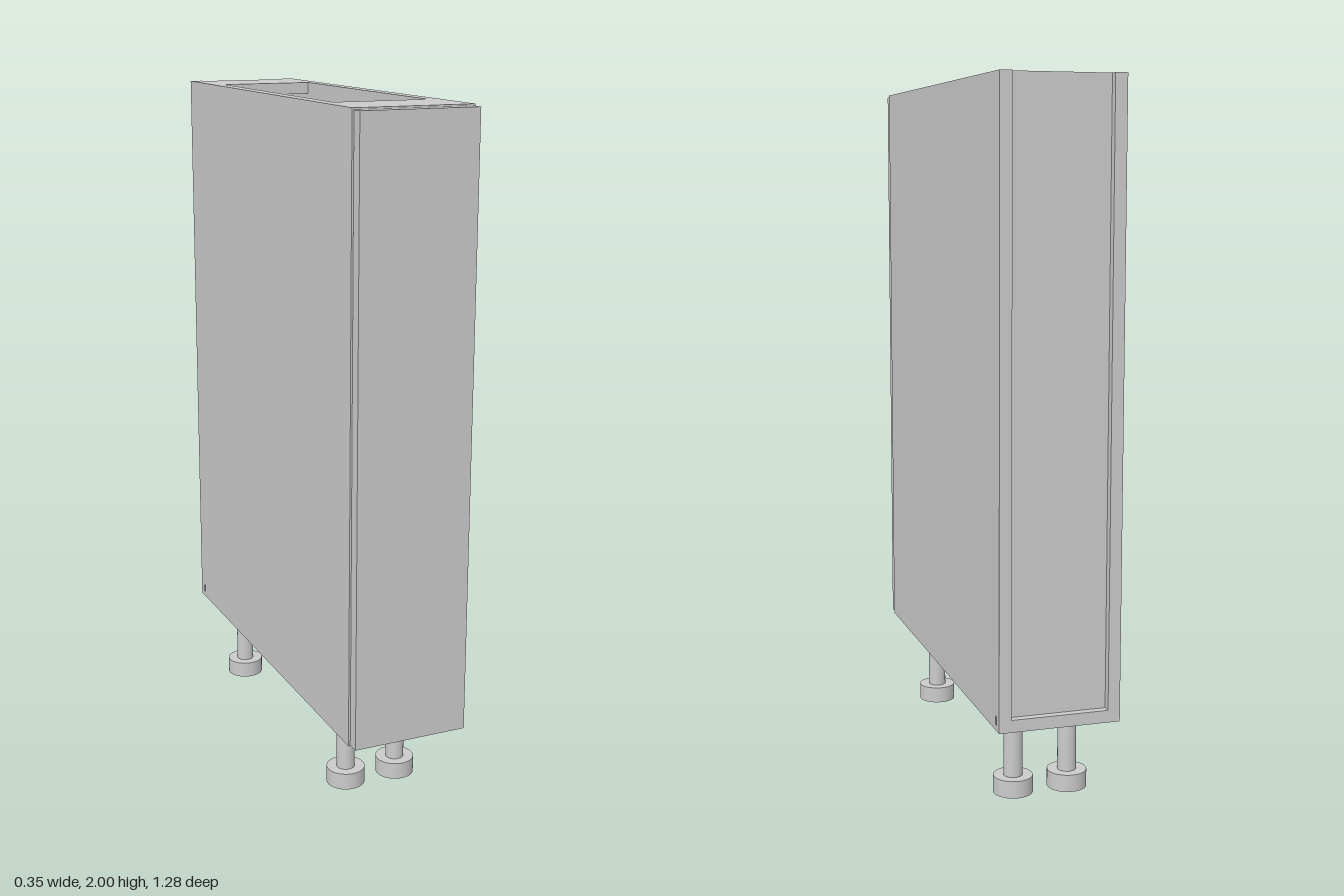
import * as THREE from 'three';

const material = new THREE.MeshStandardMaterial({ color: 0xcccccc });

// Carcass limits
const HALF_W = 0.175, INNER = 0.14, BOARD = 0.035;
const BOTTOM = 0.24, TOP = 2, BACK = -0.64, FRONT = 0.602;
// Vertical bore near the rear edge of each side panel
const BORE_X = 0.16, BORE_Z = -0.611, BORE_R = 0.006;

function add(parent, name, geometry) {
  const mesh = new THREE.Mesh(geometry, material);
  mesh.name = name;
  parent.add(mesh);
  return mesh;
}

// Board given by its limits on each axis
function board(parent, name, [x0, x1], [y0, y1], [z0, z1]) {
  const mesh = add(parent, name, new THREE.BoxGeometry(x1 - x0, y1 - y0, z1 - z0));
  mesh.position.set((x0 + x1) / 2, (y0 + y1) / 2, (z0 + z1) / 2);
}

// Horizontal slice of a side panel, raised from its plan outline
function sideSlice(parent, side, y0, y1, cut) {
  const points = [[INNER, BACK], [HALF_W, BACK]];
  if (cut === 'slot') {
    points.push([HALF_W, BORE_Z - BORE_R], [BORE_X - BORE_R, BORE_Z - BORE_R],
      [BORE_X - BORE_R, BORE_Z + BORE_R], [HALF_W, BORE_Z + BORE_R]);
  }
  points.push([HALF_W, FRONT], [INNER, FRONT]);
  const shape = new THREE.Shape(points.map(([x, z]) => new THREE.Vector2(side * x, -z)));
  if (cut === 'bore') {
    shape.holes.push(new THREE.Path().absarc(side * BORE_X, -BORE_Z, BORE_R, 0, Math.PI * 2, true));
  }
  const geometry = new THREE.ExtrudeGeometry(shape, { depth: y1 - y0, bevelEnabled: false, curveSegments: 8 });
  geometry.rotateX(-Math.PI / 2).translate(0, y0, 0);
  add(parent, 'sidePanelSection', geometry);
}

function createFoot(x, z) {
  const foot = new THREE.Group();
  foot.name = 'foot';
  const sections = [
    ['footBase', 0.057, 0, 0.05],
    ['footStem', 0.027, 0.05, 0.196],
    ['footMount', 0.057, 0.196, BOTTOM],
  ];
  for (const [name, r, y0, y1] of sections) {
    add(foot, name, new THREE.CylinderGeometry(r, r, y1 - y0, 32)).position.y = (y0 + y1) / 2;
  }
  foot.position.set(x, 0, z);
  return foot;
}

export function createModel() {
  const cabinet = new THREE.Group();
  cabinet.name = 'cabinet';

  // Side panels with a rear bore opening into a small slot near the bottom
  for (const side of [-1, 1]) {
    const panel = new THREE.Group();
    panel.name = side > 0 ? 'leftSidePanel' : 'rightSidePanel';
    sideSlice(panel, side, BOTTOM, 0.256, 'none');
    sideSlice(panel, side, 0.256, 0.28, 'slot');
    sideSlice(panel, side, 0.28, TOP, 'bore');
    cabinet.add(panel);
  }

  // Boards between the sides: floor, recessed back and two top rails
  const inside = [-INNER, INNER];
  board(cabinet, 'bottomPanel', inside, [BOTTOM, BOTTOM + BOARD], [BACK, FRONT]);
  board(cabinet, 'backPanel', inside, [BOTTOM + BOARD, TOP], [-0.617, -0.6]);
  board(cabinet, 'rearTopRail', inside, [TOP - BOARD, TOP], [-0.6, -0.42]);
  board(cabinet, 'frontTopRail', inside, [TOP - BOARD, TOP], [0.405, FRONT]);

  // Door in front of the carcass
  board(cabinet, 'door', [-0.171, 0.171], [BOTTOM + 0.004, TOP - 0.005], [0.605, 0.64]);

  // Four adjustable feet
  for (const x of [-0.081, 0.081]) {
    for (const z of [0.377, -0.468]) cabinet.add(createFoot(x, z));
  }
  return cabinet;
}
